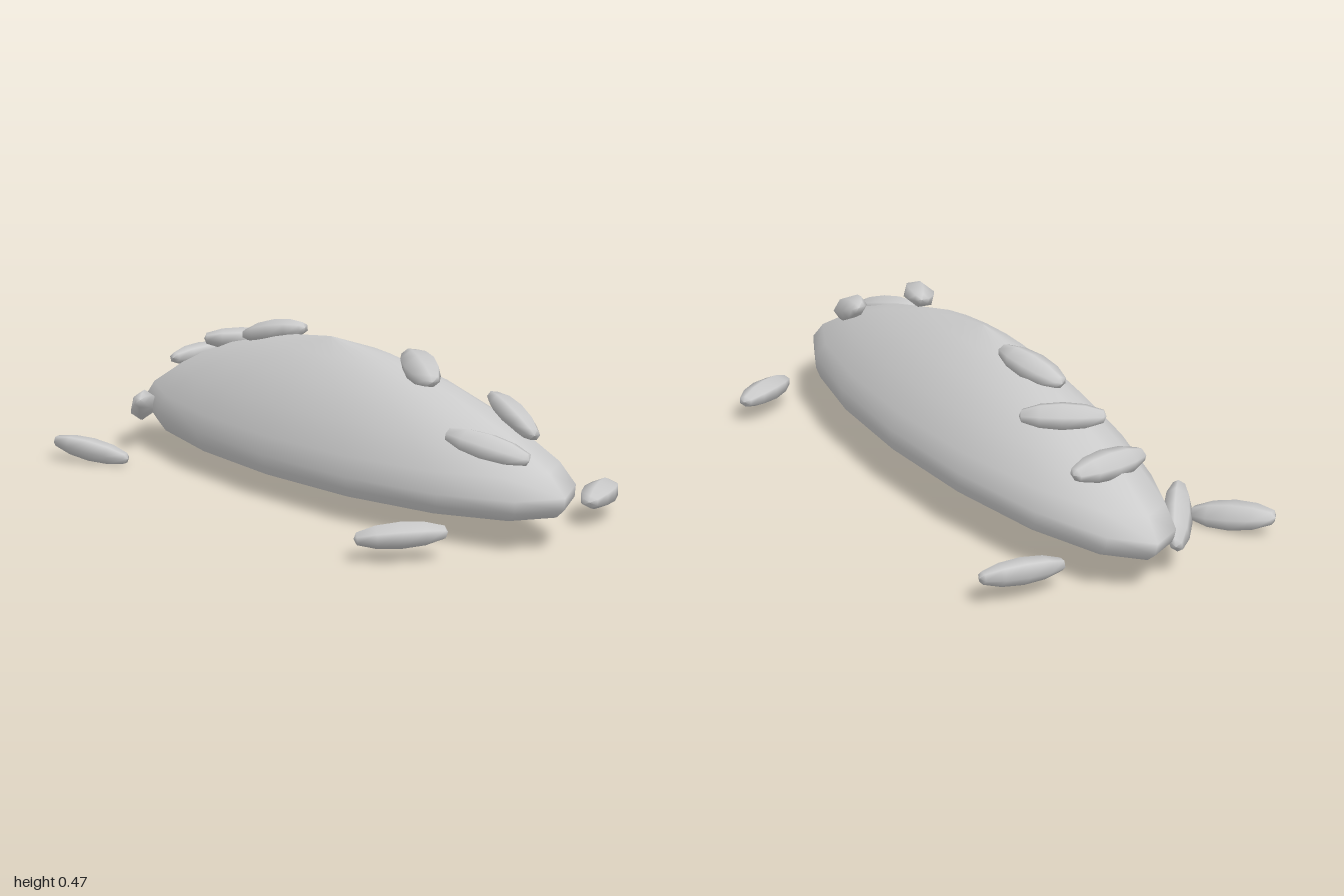
import * as THREE from 'three';

export function createModel() {
  const model = new THREE.Group();
  const material = new THREE.MeshStandardMaterial({ color: 0xcccccc });

  // Long domed body with a shallow pointed underside, leaning a little to one side
  const body = new THREE.Group();
  body.name = 'body';
  const lathe = (name, points) => {
    const geometry = new THREE.LatheGeometry(points.map(([r, y]) => new THREE.Vector2(r, y)), 16);
    geometry.scale(1, 1, 3.59);
    const mesh = new THREE.Mesh(geometry, material);
    mesh.name = name;
    body.add(mesh);
  };
  lathe('dome', [
    [0.268, 0], [0.277, 0.025], [0.279, 0.06], [0.263, 0.115],
    [0.217, 0.195], [0.156, 0.267], [0.08, 0.328], [0, 0.362],
  ]);
  lathe('underside', [[0, -0.085], [0.268, 0]]);
  body.position.set(0.03, 0.1, 0);
  body.rotation.z = 0.092;
  model.add(body);

  // Low-poly grain: six-sided spindle, flattened across
  const grainGeometry = new THREE.LatheGeometry(
    [[0, -0.125], [0.024, -0.117], [0.044, -0.065], [0.051, 0], [0.044, 0.065], [0.024, 0.117], [0, 0.125]]
      .map(([r, y]) => new THREE.Vector2(r, y)), 6);
  grainGeometry.scale(1, 1, 0.72);

  // Places a grain between two end points, its flat side facing "up"
  const addGrain = (name, from, to, up = [0, 1, 0]) => {
    const a = new THREE.Vector3(...from), b = new THREE.Vector3(...to);
    const along = b.clone().sub(a);
    const length = along.length();
    along.normalize();
    const across = along.clone().cross(new THREE.Vector3(...up)).normalize();
    const normal = across.clone().cross(along);
    const grain = new THREE.Mesh(grainGeometry, material);
    grain.name = name;
    grain.quaternion.setFromRotationMatrix(new THREE.Matrix4().makeBasis(across, along, normal));
    grain.position.copy(a).add(b).multiplyScalar(0.5);
    grain.scale.y = length / 0.25;
    model.add(grain);
  };

  // Grains lying on the body
  [
    [[-0.08, 0.1, -0.93], [-0.22, 0.18, -0.73], [-0.8, 0.6, 0]],
    [[-0.09, 0.3, -0.74], [0.155, 0.3, -0.79], [0, 1, -0.3]],
    [[-0.045, 0.375, -0.625], [0.155, 0.37, -0.495], [0, 1, -0.2]],
    [[-0.02, 0.41, -0.43], [0.045, 0.455, -0.2], [0.1, 1, 0]],
    [[-0.06, 0.41, 0.55], [0.035, 0.45, 0.32], [-0.3, 1, 0]],
    [[-0.02, 0.25, 0.91], [-0.125, 0.3, 0.69], [-0.15, 1, 0]],
    [[0.075, 0.29, 0.82], [0.12, 0.36, 0.59], [0.6, 1, 0]],
  ].forEach((ends, i) => addGrain(`bodyGrain${i + 1}`, ...ends));

  // Loose grains beside the body
  [
    [[-0.475, 0.065, -0.83], [-0.34, 0.025, -0.61], [0.5, 1, 0]],
    [[0.205, 0.075, -0.83], [0.455, 0.085, -0.825], [0, 1, 0.4]],
    [[-0.455, 0.065, 0.72], [-0.245, 0.08, 0.85]],
    [[0.28, 0.077, 0.82], [0.48, 0.077, 0.685]],
  ].forEach((ends, i) => addGrain(`looseGrain${i + 1}`, ...ends));

  return model;
}
